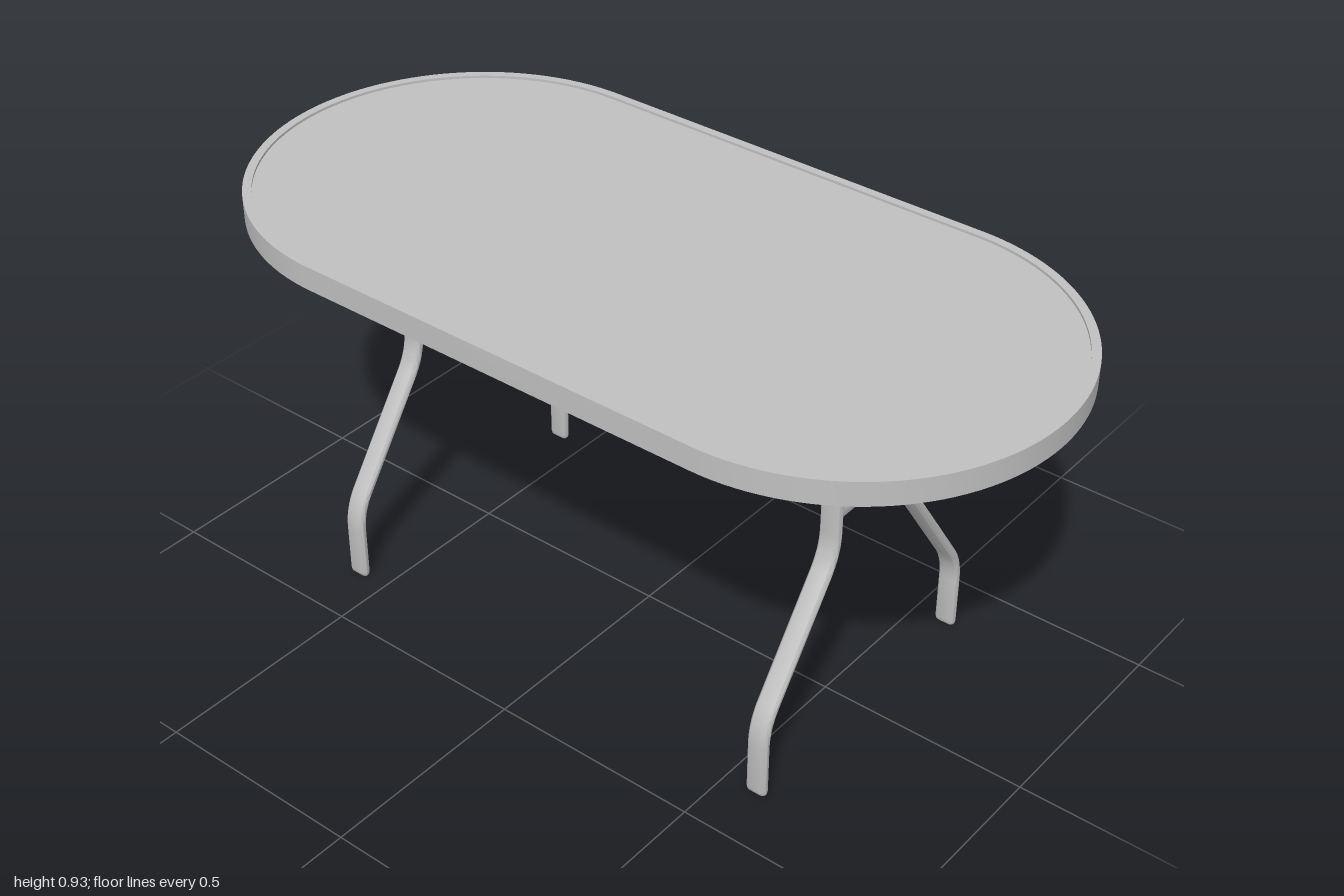
import * as THREE from 'three';
import { toCreasedNormals } from 'three/addons/utils/BufferGeometryUtils.js';

const metal = new THREE.MeshStandardMaterial({ color: 0xc0c0c0 });
metal.name = 'grey metal';

function mesh(name, geometry) {
  const m = new THREE.Mesh(toCreasedNormals(geometry, 0.6), metal);
  m.name = name;
  return m;
}

// Outline with straight sides and half-round ends, lying along the first axis
function stadium(Type, halfLength, radius) {
  const s = new Type();
  const c = halfLength - radius;
  s.moveTo(-c, -radius);
  s.lineTo(c, -radius);
  s.absarc(c, 0, radius, -Math.PI / 2, Math.PI / 2, false);
  s.lineTo(-c, radius);
  s.absarc(-c, 0, radius, Math.PI / 2, Math.PI * 1.5, false);
  return s;
}

// Horizontal slab from a shape, between two heights
function slab(name, shape, y0, y1, segments = 32) {
  const g = new THREE.ExtrudeGeometry(shape, { depth: y1 - y0, bevelEnabled: false, curveSegments: segments });
  g.rotateX(-Math.PI / 2);
  g.translate(0, y0, 0);
  return mesh(name, g);
}

// Flat oval tube standing on edge, running along z
function bar(name, length, height, width) {
  const g = new THREE.ExtrudeGeometry(stadium(THREE.Shape, height / 2, width / 2),
    { depth: length, bevelEnabled: false, curveSegments: 8 });
  g.translate(0, 0, -length / 2);
  g.rotateZ(Math.PI / 2);
  return mesh(name, g);
}

// Sweep the flat oval section along the bent leg line (z, y)
function legGeometry() {
  const path = new THREE.Path();
  path.moveTo(0.357, 0);
  path.lineTo(0.357, 0.004);
  path.lineTo(0.357, 0.012);
  path.lineTo(0.357, 0.13);
  path.quadraticCurveTo(0.357, 0.182, 0.328, 0.224);
  path.lineTo(0.162, 0.462);
  path.quadraticCurveTo(0.133, 0.504, 0.133, 0.556);
  path.lineTo(0.133, 0.815);
  path.absarc(0.213, 0.815, 0.08, Math.PI, Math.PI / 2, true);
  path.lineTo(0.475, 0.895);
  const line = path.getPoints(10);
  const section = stadium(THREE.Path, 0.025, 0.011).getPoints(8);
  section.pop();
  const n = section.length;
  const footScale = [0.55, 0.87];
  const pos = [], idx = [];
  line.forEach((p, i) => {
    const t = line[Math.min(i + 1, line.length - 1)].clone().sub(line[Math.max(i - 1, 0)]).normalize();
    const k = footScale[i] ?? 1;
    // keep a rounded foot: shrink both axes by the same amount
    const inset = 0.011 * (1 - k);
    for (const s of section) {
      const x = s.x * (1 - inset / 0.025), d = s.y * k;
      pos.push(x, p.y - t.x * d, p.x + t.y * d);
    }
  });
  for (let i = 0; i < line.length - 1; i++) {
    for (let j = 0; j < n; j++) {
      const a = i * n + j, b = i * n + (j + 1) % n;
      idx.push(a, a + n, b, b, a + n, b + n);
    }
  }
  // End caps
  const last = (line.length - 1) * n;
  for (let j = 1; j < n - 1; j++) {
    idx.push(0, j, j + 1, last, last + j + 1, last + j);
  }
  const g = new THREE.BufferGeometry();
  g.setAttribute('position', new THREE.Float32BufferAttribute(pos, 3));
  g.setIndex(idx);
  return g;
}

export function createModel() {
  const table = new THREE.Group();
  table.name = 'table';

  // Table top: rim band around a slightly sunken panel
  const rim = stadium(THREE.Shape, 1, 0.5);
  rim.holes.push(stadium(THREE.Path, 0.98, 0.48));
  table.add(slab('rim', rim, 0.876, 0.932));
  table.add(slab('topPanel', stadium(THREE.Shape, 0.981, 0.481), 0.907, 0.926));

  // Four bent legs, in pairs joined by a cross bar
  const leg = legGeometry();
  // Make sure the faces point outwards
  const probe = new THREE.Vector3(), a = new THREE.Vector3(), b = new THREE.Vector3(), c = new THREE.Vector3();
  let volume = 0;
  const p = leg.attributes.position, ix = leg.index.array;
  for (let i = 0; i < ix.length; i += 3) {
    a.fromBufferAttribute(p, ix[i]);
    b.fromBufferAttribute(p, ix[i + 1]);
    c.fromBufferAttribute(p, ix[i + 2]);
    volume += a.dot(probe.crossVectors(b, c));
  }
  if (volume < 0) leg.setIndex(Array.from(ix).reverse());

  for (const [side, sx] of [['left', 1], ['right', -1]]) {
    for (const [end, turn] of [['Front', 0], ['Back', Math.PI]]) {
      const m = mesh(side + end + 'Leg', leg);
      m.position.x = sx * 0.58;
      m.rotation.y = turn;
      table.add(m);
    }
    const cross = bar(side + 'CrossBar', 0.25, 0.046, 0.024);
    cross.position.set(sx * 0.58, 0.596, 0);
    cross.rotation.z = 0;
    table.add(cross);

    // Half of the long stretcher, from cross bar to centre ring
    const stretcher = bar(side + 'Stretcher', 0.55, 0.046, 0.024);
    stretcher.rotation.y = Math.PI / 2;
    stretcher.position.set(sx * 0.298, 0.596, 0);
    table.add(stretcher);
  }

  // Open ring for a pole in the middle of the stretcher
  const ring = new THREE.Shape().absarc(0, 0, 0.029, 0, Math.PI * 2, false);
  ring.holes.push(new THREE.Path().absarc(0, 0, 0.022, 0, Math.PI * 2, true));
  table.add(slab('poleRing', ring, 0.572, 0.622, 16));

  return table;
}
